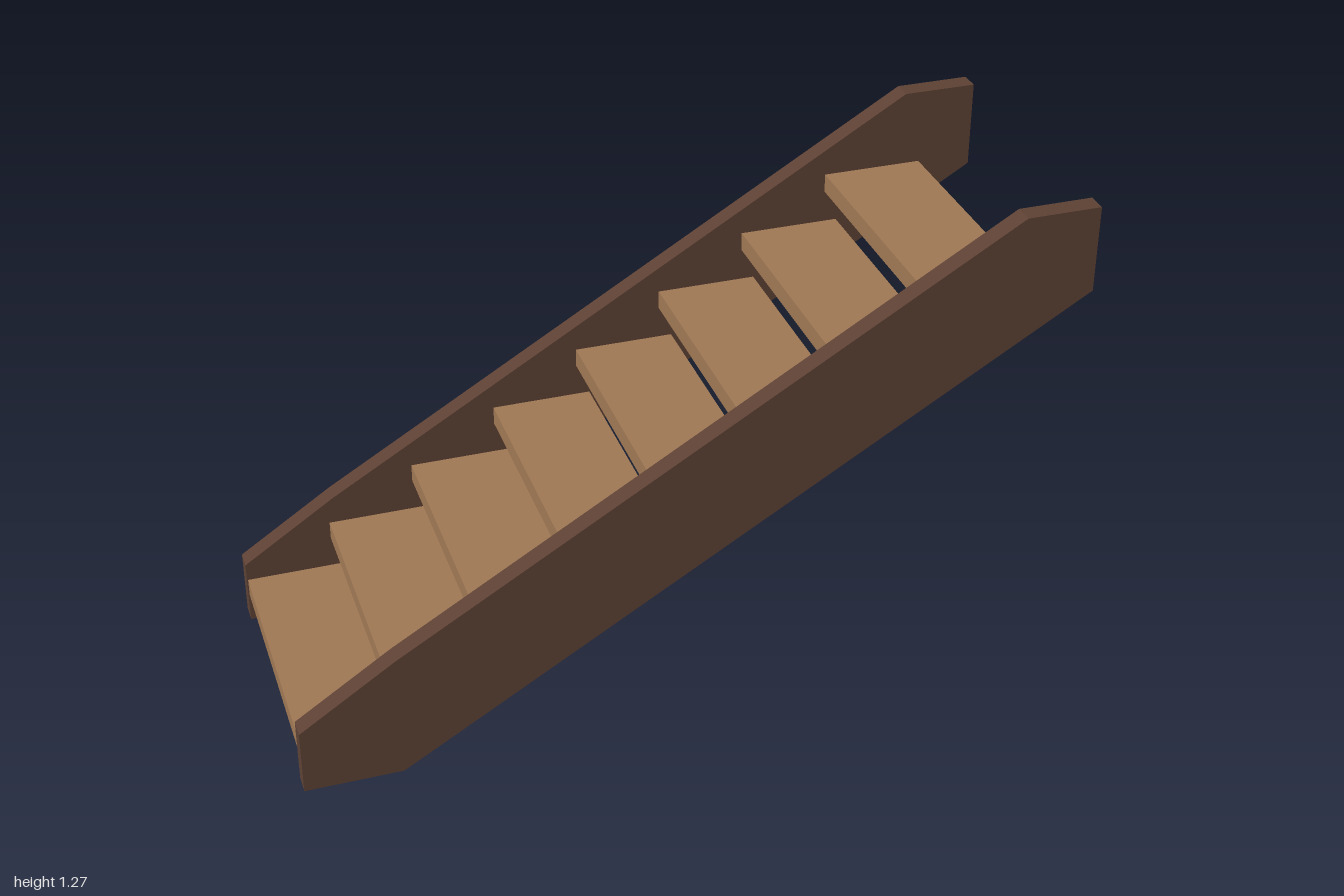
import * as THREE from 'three';

const darkWood = new THREE.MeshStandardMaterial({ name: 'dark wood', color: 0x5c4033 });
const lightWood = new THREE.MeshStandardMaterial({ name: 'light wood', color: 0x9e7653 });

const INNER = 0.338, OUTER = 0.39; // stringer faces in z
const TREADS = 8, RUN = 0.2273, RISE = 0.1347;
const DEPTH = 0.262, THICK = 0.049;

export function createModel() {
  const model = new THREE.Group();
  model.name = 'staircase';

  // Slanted side boards, cut level at the floor and plumb at both ends
  const profile = new THREE.Shape([
    [-1, 0], [-0.752, 0], [1, 1.043], [1, 1.268],
    [0.81, 1.268], [-0.755, 0.338], [-1, 0.175],
  ].map(([x, y]) => new THREE.Vector2(x, y)));
  const stringer = new THREE.ExtrudeGeometry(profile, { depth: OUTER - INNER, bevelEnabled: false });
  for (const [name, z] of [['frontStringer', INNER], ['backStringer', -OUTER]]) {
    const board = new THREE.Mesh(stringer, darkWood);
    board.name = name;
    board.position.z = z;
    model.add(board);
  }

  // Open treads between the side boards
  const tread = new THREE.BoxGeometry(DEPTH, THICK, INNER * 2);
  for (let i = 0; i < TREADS; i++) {
    const step = new THREE.Mesh(tread, lightWood);
    step.name = `tread${i + 1}`;
    step.position.set(-0.997 + DEPTH / 2 + i * RUN, 0.103 + i * RISE, 0);
    model.add(step);
  }
  return model;
}
